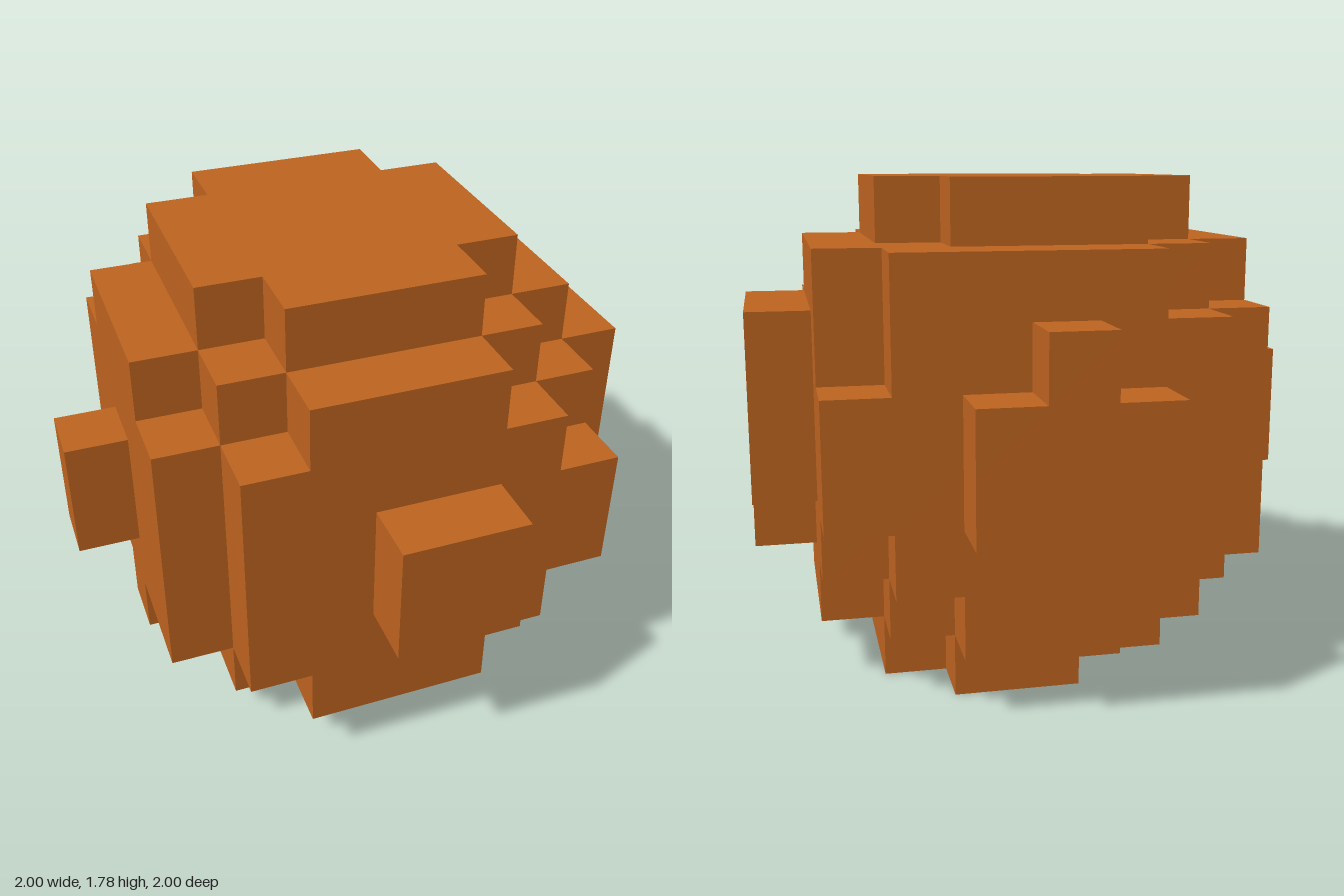
import * as THREE from 'three';
import { mergeGeometries } from 'three/addons/utils/BufferGeometryUtils.js';

const U = 2 / 9; // size of one cube cell

// Each part is a set of cell blocks: [x0, x1, y0, y1, z0, z1], inclusive
const PARTS = {
  core: [[2, 6, 1, 6, 2, 6]],
  frontSide: [[2, 6, 2, 5, 7, 7], [3, 5, 1, 6, 7, 7]],
  backSide: [[2, 6, 2, 5, 1, 1], [3, 5, 1, 6, 1, 1], [6, 6, 6, 6, 1, 1]],
  leftSide: [[7, 7, 2, 5, 2, 6], [7, 7, 1, 6, 3, 5], [7, 7, 6, 6, 2, 2]],
  rightSide: [[1, 1, 2, 5, 2, 6], [1, 1, 6, 6, 3, 5], [1, 1, 1, 1, 4, 4]],
  cornerColumns: [[7, 7, 3, 4, 1, 1], [7, 7, 3, 4, 7, 7]],
  topCap: [[2, 6, 7, 7, 3, 5], [3, 5, 7, 7, 2, 6]],
  bottomCap: [[3, 6, 0, 0, 3, 5], [4, 4, 0, 0, 6, 6], [4, 5, 0, 0, 2, 2]],
  frontBump: [[4, 5, 3, 4, 8, 8]],
  backBump: [[3, 5, 3, 4, 0, 0], [4, 4, 5, 5, 0, 0]],
  leftBump: [[8, 8, 3, 5, 3, 5], [8, 8, 2, 2, 4, 4]],
  rightBump: [[0, 0, 3, 4, 4, 4]],
};

// Neighbour direction and the rotation that turns a plane towards it
const Q = Math.PI / 2;
const SIDES = [
  [[1, 0, 0], 0, Q], [[-1, 0, 0], 0, -Q],
  [[0, 1, 0], -Q, 0], [[0, -1, 0], Q, 0],
  [[0, 0, 1], 0, 0], [[0, 0, -1], 0, 2 * Q],
];

const key = (x, y, z) => `${x},${y},${z}`;

export function createModel() {
  const model = new THREE.Group();
  model.name = 'blockBall';
  const clay = new THREE.MeshStandardMaterial({ color: 0xc06520 });
  clay.name = 'orangeBrown';

  // Fill the cells, remembering which part owns each
  const cells = new Map();
  for (const [part, blocks] of Object.entries(PARTS)) {
    for (const [x0, x1, y0, y1, z0, z1] of blocks) {
      for (let x = x0; x <= x1; x++)
        for (let y = y0; y <= y1; y++)
          for (let z = z0; z <= z1; z++) cells.set(key(x, y, z), { part, at: [x, y, z] });
    }
  }

  // Make a square for every cell side that has no neighbour
  const faces = {};
  for (const { part, at: [x, y, z] } of cells.values()) {
    for (const [[dx, dy, dz], rx, ry] of SIDES) {
      if (cells.has(key(x + dx, y + dy, z + dz))) continue;
      const square = new THREE.PlaneGeometry(U, U).rotateX(rx).rotateY(ry);
      square.translate((x - 4 + dx / 2) * U, (y + 0.5 + dy / 2) * U, (z - 4 + dz / 2) * U);
      (faces[part] ??= []).push(square);
    }
  }

  // One mesh per part
  for (const [part, squares] of Object.entries(faces)) {
    const mesh = new THREE.Mesh(mergeGeometries(squares), clay);
    mesh.name = part;
    model.add(mesh);
  }
  return model;
}
